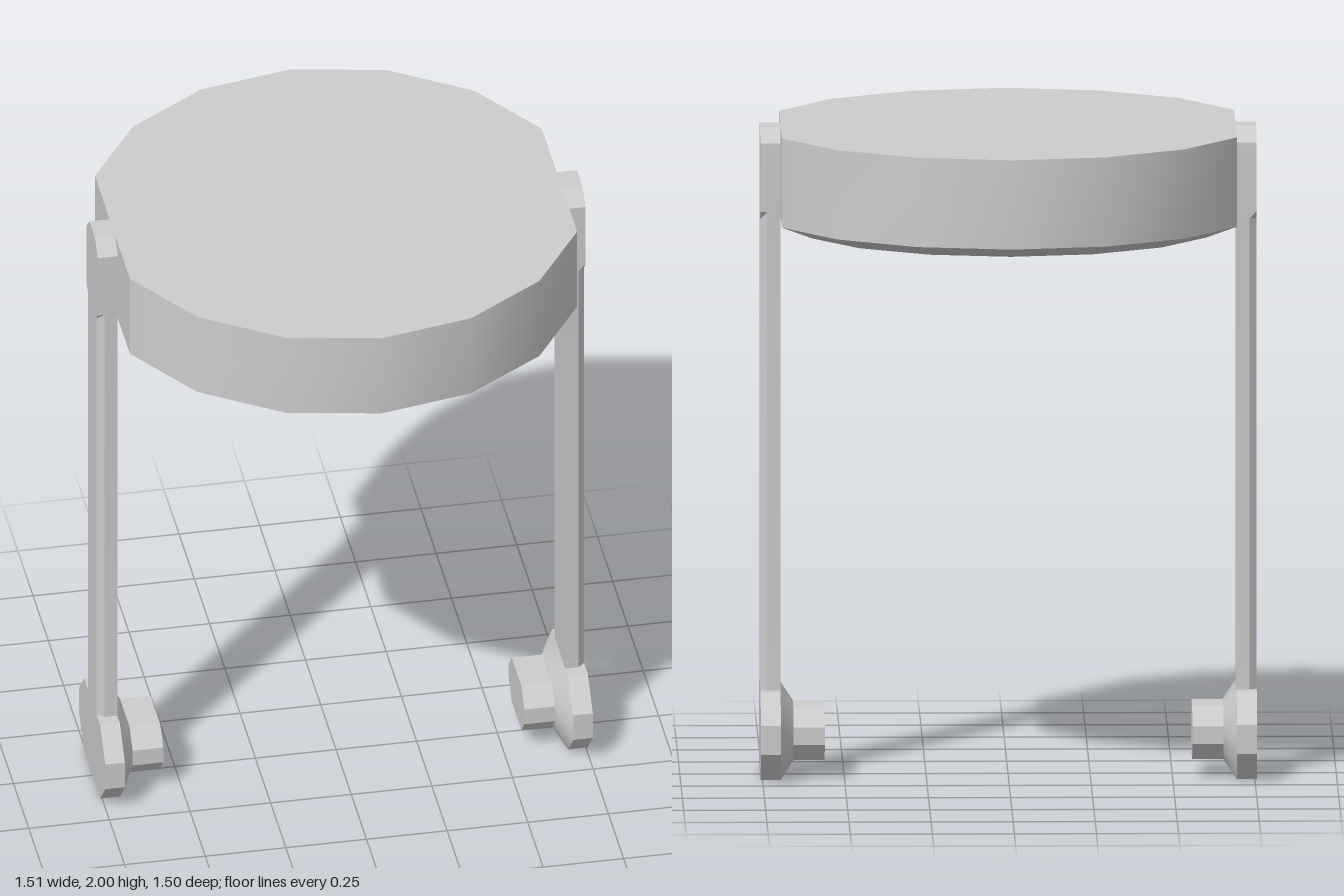
import * as THREE from 'three';
import { toCreasedNormals } from 'three/addons/utils/BufferGeometryUtils.js';

// Skin a list of equal-length rings (counter-clockwise seen from the last ring) and cap both ends.
function loft(rings) {
  const n = rings[0].length;
  const index = [];
  rings.slice(1).forEach((_, r) => {
    for (let i = 0; i < n; i++) {
      const a = r * n + i, b = r * n + (i + 1) % n;
      index.push(a, b, b + n, a, b + n, a + n);
    }
  });
  const last = (rings.length - 1) * n;
  for (let i = 1; i < n - 1; i++) {
    index.push(0, i + 1, i, last, last + i, last + i + 1);
  }
  const geometry = new THREE.BufferGeometry();
  geometry.setAttribute('position', new THREE.Float32BufferAttribute(rings.flat(2), 3));
  geometry.setIndex(index);
  return toCreasedNormals(geometry, 0.5);
}

// Sixteen-sided outline, cut flat where it meets the legs.
function discRing(y, rx, rz) {
  return Array.from({ length: 16 }, (_, i) => {
    const a = i * Math.PI / 8;
    const x = THREE.MathUtils.clamp(rx * Math.cos(a), -0.694, 0.694);
    return [x, y, -rz * Math.sin(a)];
  });
}

// Leg section: half width w, outer face half width c.
function legRing(y, w, c) {
  const inner = 0.694, side = 0.735, outer = 0.756;
  return [[outer, y, c], [outer, y, -c], [side, y, -w], [inner, y, -w], [inner, y, w], [side, y, w]];
}

// Elongated octagon facing sideways.
function footRing(x, s) {
  const corners = [[0.135, -0.13], [0.135, 0.13], [0.045, 0.215], [-0.045, 0.215],
    [-0.135, 0.13], [-0.135, -0.13], [-0.045, -0.215], [0.045, -0.215]];
  return corners.map(([y, z]) => [x, 0.135 + y * s, z * s]);
}

export function createModel() {
  const model = new THREE.Group();
  model.name = 'roundTopOnTwoLegs';
  const grey = new THREE.MeshStandardMaterial({ color: 0xcccccc });
  grey.name = 'lightGrey';

  const add = (parent, name, geometry) => {
    const mesh = new THREE.Mesh(geometry, grey);
    mesh.name = name;
    parent.add(mesh);
  };

  // Thick round top with a bevelled underside
  add(model, 'roundTop', loft([discRing(1.685, 0.65, 0.63), discRing(1.725, 0.75, 0.75), discRing(2, 0.75, 0.75)]));

  // Bevelled leg with a wider pointed head, and an octagonal foot with an inner hub
  const legGeometry = loft([legRing(0.26, 0.09, 0.07), legRing(1.72, 0.09, 0.07),
    legRing(1.745, 0.092, 0.092), legRing(1.955, 0.092, 0.092), legRing(2, 0.045, 0.045)]);
  const footGeometry = loft([footRing(0.56, 0.6), footRing(0.655, 0.6), footRing(0.695, 1), footRing(0.756, 1)]);

  ['left', 'right'].forEach((side, i) => {
    const group = new THREE.Group();
    group.name = side + 'LegAssembly';
    group.rotation.y = i * Math.PI;
    add(group, side + 'Leg', legGeometry);
    add(group, side + 'Foot', footGeometry);
    model.add(group);
  });
  return model;
}
